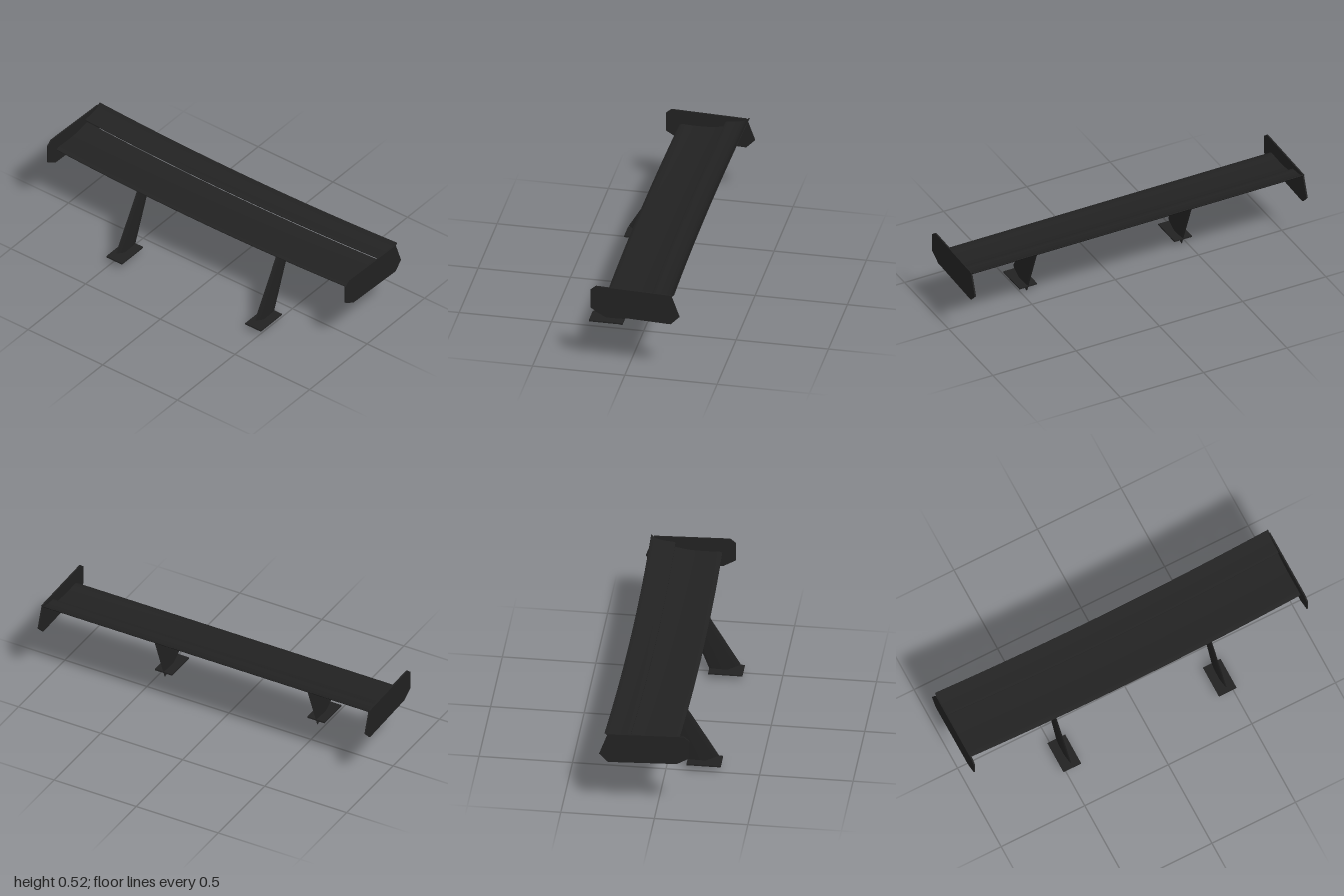
import * as THREE from 'three';
import { toCreasedNormals } from 'three/addons/utils/BufferGeometryUtils.js';

// Closed shape from [z, y] points; extruding then turning it puts depth along x
const spanGeometry = (shape, depth, steps) => {
  const g = new THREE.ExtrudeGeometry(shape, { depth, steps, bevelEnabled: false, curveSegments: 12 });
  return g.translate(0, 0, -depth / 2).rotateY(Math.PI / 2);
};

// Blade: thin curved section swept across the span, tips raised and swept back
function bladeGeometry(upper, lower) {
  const curve = (pts) => new THREE.SplineCurve(pts.map(([z, y]) => new THREE.Vector2(-z, y))).getPoints(14);
  const shape = new THREE.Shape([...curve(upper), ...curve(lower).reverse()]);
  const g = spanGeometry(shape, 1.992, 28);
  const p = g.attributes.position;
  for (let i = 0; i < p.count; i++) {
    const k = p.getX(i) ** 2;
    p.setY(i, p.getY(i) + 0.013 * k);
    p.setZ(i, p.getZ(i) - 0.017 * k);
  }
  return toCreasedNormals(g, 0.6);
}

// Strut: lens section blended from a slanted foot to the blade underside
function strutGeometry(lift) {
  const g = new THREE.CylinderGeometry(1, 1, 1, 20, 6);
  const p = g.attributes.position;
  const mix = THREE.MathUtils.lerp;
  for (let i = 0; i < p.count; i++) {
    const t = p.getY(i) + 0.5;
    const s = (p.getZ(i) + 1) / 2;
    const z = mix(mix(0.125, 0.28, s), mix(-0.03, 0.083, s), t);
    const y = mix(mix(0, 0.075, s) + lift, 0.41 + lift * 0.2, t);
    p.setXYZ(i, p.getX(i) * 0.006, y, z);
  }
  return toCreasedNormals(g, 0.6);
}

export function createModel() {
  const group = new THREE.Group();
  const black = new THREE.MeshStandardMaterial({ color: 0x222222 });
  black.name = 'satin black';
  const add = (name, geometry, x = 0) => {
    const m = new THREE.Mesh(geometry, black);
    m.name = name;
    m.position.x = x;
    group.add(m);
    return m;
  };

  // Main blade
  add('mainBlade', bladeGeometry(
    [[0.131, 0.42], [0.11, 0.426], [0.04, 0.423], [-0.05, 0.426], [-0.135, 0.441]],
    [[0.131, 0.416], [0.1, 0.404], [0.04, 0.4], [-0.05, 0.409], [-0.135, 0.437]],
  ));

  // Upturned rear flap
  add('rearFlap', bladeGeometry(
    [[-0.119, 0.465], [-0.135, 0.469], [-0.18, 0.473], [-0.225, 0.485], [-0.248, 0.502]],
    [[-0.119, 0.461], [-0.135, 0.457], [-0.18, 0.46], [-0.225, 0.477], [-0.25, 0.499]],
  ));

  // End plates
  const outline = [[0.187, 0.495], [0.157, 0.52], [-0.25, 0.507], [-0.295, 0.383],
    [-0.248, 0.335], [0.12, 0.35], [0.187, 0.39]];
  const plateShape = new THREE.Shape(outline.map(([z, y]) => new THREE.Vector2(-z, y)));
  add('leftEndPlate', spanGeometry(plateShape, 0.008, 1), 0.996);
  add('rightEndPlate', spanGeometry(plateShape, 0.008, 1), -0.996);

  // Struts and their mounting feet; the right pair sits slightly higher
  for (const [side, x, lift] of [['left', 0.463, 0], ['right', -0.467, 0.01]]) {
    add(side + 'Strut', strutGeometry(lift), x);
    const foot = add(side + 'Foot', new THREE.BoxGeometry(0.105, 0.008, 0.183), x);
    foot.position.set(x, 0.037 + lift, 0.203);
  }
  return group;
}
